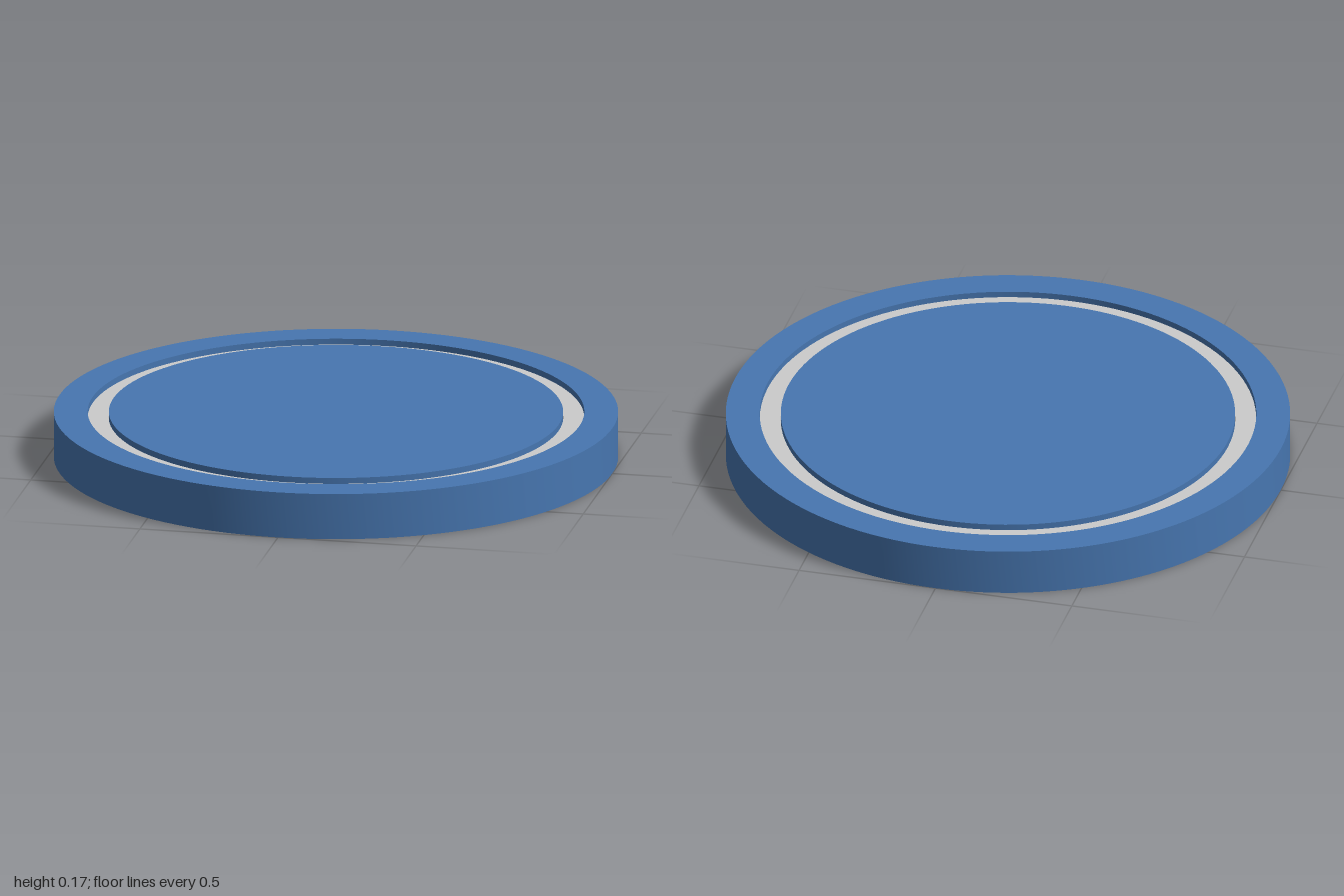
import * as THREE from 'three';
import { toCreasedNormals } from 'three/addons/utils/BufferGeometryUtils.js';

const HEIGHT = 0.167;
const GROOVE_INNER = 0.805;
const GROOVE_OUTER = 0.88;
const GROOVE_FLOOR = HEIGHT - 0.05;
const INLAY_TOP = HEIGHT - 0.022;

// Turned part with crisp edges from [radius, height] pairs
function turned(name, profile, color) {
  const points = profile.map(([r, y]) => new THREE.Vector2(r, y));
  const geometry = toCreasedNormals(new THREE.LatheGeometry(points, 128), Math.PI / 6);
  const mesh = new THREE.Mesh(geometry, new THREE.MeshStandardMaterial({ color }));
  mesh.name = name;
  return mesh;
}

export function createModel() {
  const model = new THREE.Group();
  model.name = 'groovedDisc';

  // Solid disc with a ring groove cut into its top
  model.add(turned('disc', [
    [0, 0], [1, 0], [1, HEIGHT],
    [GROOVE_OUTER, HEIGHT], [GROOVE_OUTER, GROOVE_FLOOR],
    [GROOVE_INNER, GROOVE_FLOOR], [GROOVE_INNER, HEIGHT],
    [0, HEIGHT],
  ], 0x4776b0));

  // Grey ring set into the groove, slightly below the top
  model.add(turned('inlayRing', [
    [GROOVE_INNER, GROOVE_FLOOR], [GROOVE_OUTER, GROOVE_FLOOR],
    [GROOVE_OUTER, INLAY_TOP], [GROOVE_INNER, INLAY_TOP],
    [GROOVE_INNER, GROOVE_FLOOR],
  ].map(([r, y]) => [r === GROOVE_INNER ? r + 0.0005 : r - 0.0005, y + 0.0005]), 0xcccccc));

  return model;
}
